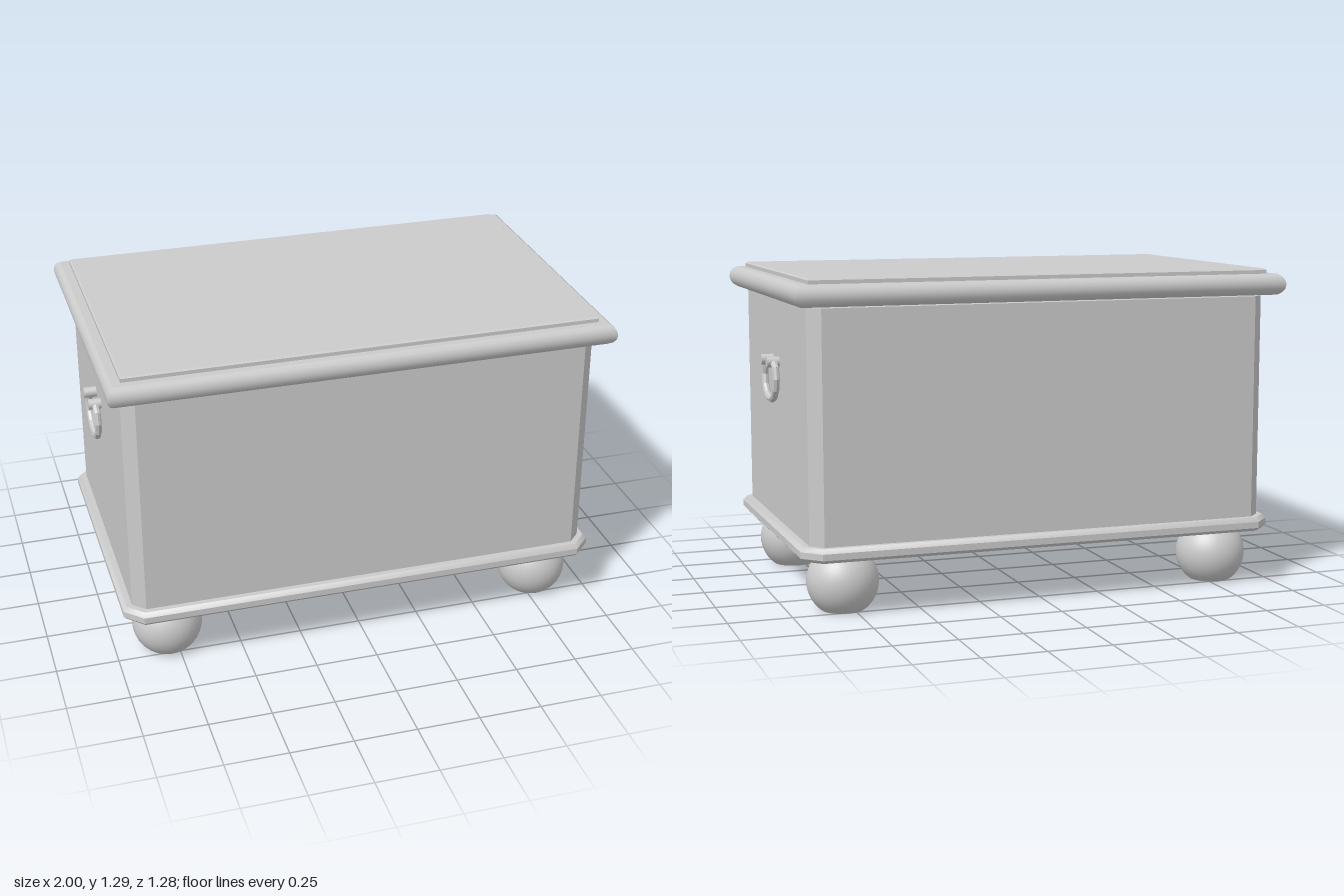
import * as THREE from 'three';
import { toCreasedNormals } from 'three/addons/utils/BufferGeometryUtils.js';

const material = new THREE.MeshStandardMaterial({ color: 0xcccccc });
const flatMaterial = new THREE.MeshStandardMaterial({ color: 0xcccccc, flatShading: true });
const openMaterial = new THREE.MeshStandardMaterial({ color: 0xcccccc, side: THREE.DoubleSide });

// Rectangle outline with half sizes a, b and corners cut by c
function outline(a, b, c, y) {
  const pts = [];
  for (const [sx, sz] of [[1, 1], [-1, 1], [-1, -1], [1, -1]]) {
    const nearX = [sx * a, y, sz * (b - c)];
    const nearZ = [sx * (a - c), y, sz * b];
    if (c === 0) pts.push(nearX);
    else if (sx * sz > 0) pts.push(nearX, nearZ);
    else pts.push(nearZ, nearX);
  }
  return pts;
}

// Closed block whose edge follows a profile of [outset, y] with mitred corners
function moulding(a, b, c, profile) {
  const rings = profile.map(([d, y]) => outline(a + d, b + d, c ? c + d * 0.586 : 0, y));
  const pos = [];
  const n = rings[0].length;
  const last = rings[rings.length - 1];
  for (let i = 0; i < n; i++) {
    const j = (i + 1) % n;
    for (let k = 0; k < rings.length - 1; k++) {
      const lo = rings[k], up = rings[k + 1];
      pos.push(...lo[i], ...up[i], ...lo[j], ...lo[j], ...up[i], ...up[j]);
    }
    pos.push(0, rings[0][0][1], 0, ...rings[0][i], ...rings[0][j]);
    pos.push(0, last[0][1], 0, ...last[j], ...last[i]);
  }
  const g = new THREE.BufferGeometry();
  g.setAttribute('position', new THREE.Float32BufferAttribute(pos, 3));
  return toCreasedNormals(g, 0.6);
}

export function createModel() {
  const model = new THREE.Group();
  model.name = 'chest';
  const add = (name, geometry, mat = material, parent = model) => {
    const mesh = new THREE.Mesh(geometry, mat);
    mesh.name = name;
    parent.add(mesh);
    return mesh;
  };

  // Body with chamfered corners, standing on a bevelled base
  add('body', moulding(0.94, 0.583, 0.048, [[0, 0.27], [0, 1.18]]));
  add('basePlinth', moulding(0.94, 0.583, 0.048,
    [[0.025, 0.225], [0.037, 0.238], [0.037, 0.263], [0.022, 0.28]]));

  // Lid with rounded edge and a thin raised panel
  const lidEdge = [];
  for (let i = 0; i <= 6; i++) {
    const t = (i / 6 - 0.5) * Math.PI * 0.72;
    lidEdge.push([(Math.cos(t) - 1) * 0.045, 1.228 + 0.0415 * Math.sin(t) / Math.sin(Math.PI * 0.36)]);
  }
  add('lid', moulding(1, 0.638, 0, lidEdge));
  add('lidPanel', moulding(0.94, 0.581, 0,
    [[0, 1.26], [0, 1.284], [-0.006, 1.29]]));

  // Bun feet: spheres cut off at the floor and at the base
  const footProfile = [];
  const lowAngle = -0.93, highAngle = 0.92;
  for (let i = 0; i <= 16; i++) {
    const t = lowAngle + (highAngle - lowAngle) * i / 16;
    footProfile.push(new THREE.Vector2(0.141 * Math.cos(t), 0.113 + 0.141 * Math.sin(t)));
  }
  const footGeometry = new THREE.LatheGeometry(footProfile, 32);
  for (const sx of [1, -1]) for (const sz of [1, -1]) {
    add('foot', footGeometry, openMaterial).position.set(sx * 0.785, 0, sz * 0.427);
  }

  // Drop handles: a faceted ring hung from two pins on each end
  const half = [[0.06, 0.928], [0.09, 0.918], [0.106, 0.887], [0.106, 0.842], [0.08, 0.8], [0.03, 0.777]];
  const path = [...half, ...half.map(([z, y]) => [-z, y]).reverse()];
  const ring = new THREE.TubeGeometry(
    new THREE.CatmullRomCurve3(path.map(([z, y]) => new THREE.Vector3(0, y, z))), 11, 0.014, 8);
  const pin = new THREE.CylinderGeometry(0.021, 0.021, 0.055, 16).rotateZ(Math.PI / 2);
  for (const side of [1, -1]) {
    const handle = new THREE.Group();
    handle.name = side > 0 ? 'leftHandle' : 'rightHandle';
    model.add(handle);
    add('handleRing', ring, flatMaterial, handle).position.x = side * 0.963;
    for (const z of [0.06, -0.06]) {
      add('handlePin', pin, material, handle).position.set(side * 0.9625, 0.928, z * 0.9);
    }
  }
  return model;
}
